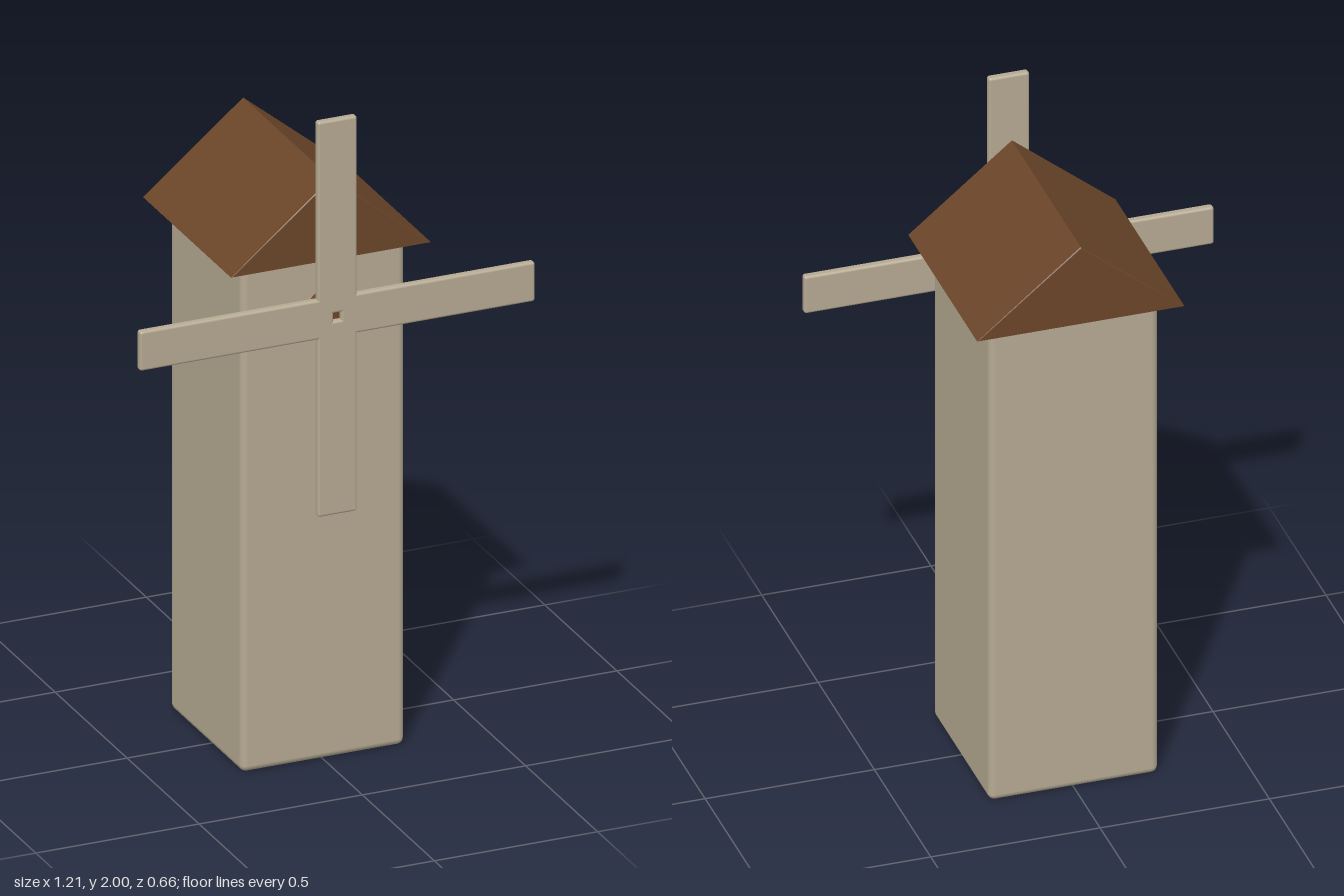
import * as THREE from 'three';
import { RoundedBoxGeometry } from 'three/addons/geometries/RoundedBoxGeometry.js';

export function createModel() {
  const group = new THREE.Group();
  const stone = new THREE.MeshStandardMaterial({ color: 0xb5a992 });
  stone.name = 'stone';
  const wood = new THREE.MeshStandardMaterial({ color: 0x6b4529 });
  wood.name = 'brownWood';

  const add = (parent, name, geometry, material, x, y, z) => {
    const mesh = new THREE.Mesh(geometry, material);
    mesh.name = name;
    mesh.position.set(x, y, z);
    parent.add(mesh);
    return mesh;
  };

  // Tall square tower with softened edges
  add(group, 'tower', new RoundedBoxGeometry(0.5, 1.546, 0.5, 3, 0.02), stone, 0, 0.773, -0.02);

  // Gable roof, ridge running front to back
  const gable = new THREE.Shape([
    new THREE.Vector2(-0.302, 0),
    new THREE.Vector2(0.302, 0),
    new THREE.Vector2(0, 0.246),
  ]);
  const roof = new THREE.ExtrudeGeometry(gable, {
    depth: 0.61, bevelThickness: 0.003, bevelSize: 0.003, bevelSegments: 1,
  });
  add(group, 'roof', roof, wood, 0, 1.552, -0.328);

  // Hub and four sails around a small open centre
  const rotor = new THREE.Group();
  rotor.name = 'rotor';
  rotor.position.set(0, 1.395, 0);
  group.add(rotor);
  const hub = new THREE.CylinderGeometry(0.066, 0.066, 0.05, 32).rotateX(Math.PI / 2);
  add(rotor, 'hub', hub, wood, 0, 0, 0.288);

  const inner = 0.012, outer = 0.605;
  const sail = new RoundedBoxGeometry(0.121, outer - inner, 0.025, 3, 0.008);
  sail.translate(0, (inner + outer) / 2, 0);
  for (let i = 0; i < 4; i++) {
    add(rotor, 'sail' + (i + 1), sail, stone, 0, 0, 0.317).rotation.z = i * Math.PI / 2;
  }
  return group;
}
